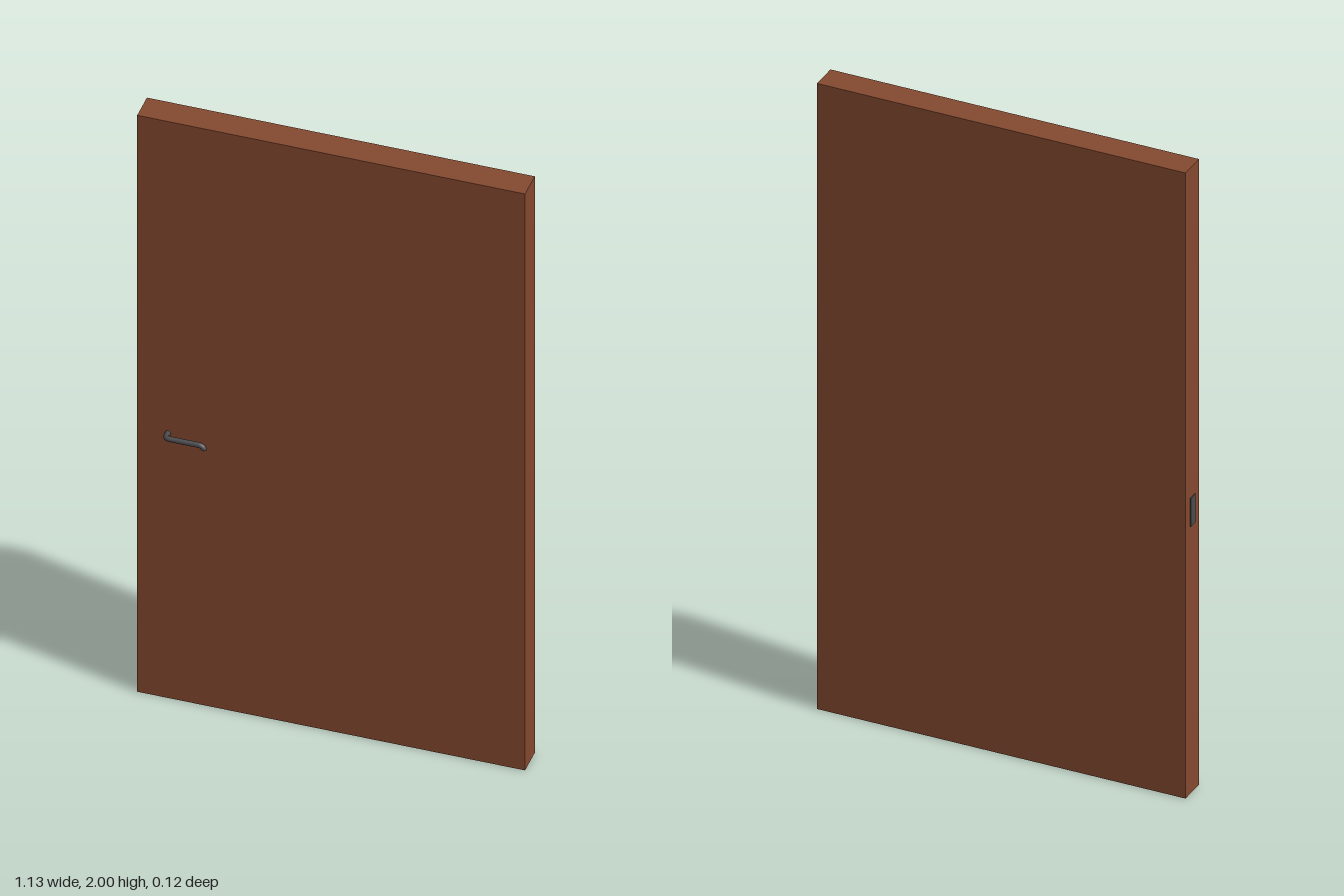
import * as THREE from 'three';

const WIDTH = 1.13, HEIGHT = 2, BACK = -0.06, FRONT = 0.025;

function box(name, material, size, position) {
  const mesh = new THREE.Mesh(new THREE.BoxGeometry(...size), material);
  mesh.name = name;
  mesh.position.set(...position);
  return mesh;
}

// Lever: a stem out of the door, a rounded corner, a straight grip and a drooped tip
function createHandle(material) {
  const handle = new THREE.Group();
  handle.name = 'handle';
  const v = (x, y, z) => new THREE.Vector3(x, y, z);
  const r = 0.008;
  const path = new THREE.CurvePath();
  path.add(new THREE.LineCurve3(v(-0.475, 0.92, FRONT - 0.005), v(-0.475, 0.92, 0.038)));
  path.add(new THREE.QuadraticBezierCurve3(v(-0.475, 0.92, 0.038), v(-0.475, 0.92, 0.051), v(-0.462, 0.92, 0.051)));
  path.add(new THREE.LineCurve3(v(-0.462, 0.92, 0.051), v(-0.38, 0.92, 0.051)));
  path.add(new THREE.QuadraticBezierCurve3(v(-0.38, 0.92, 0.051), v(-0.364, 0.92, 0.051), v(-0.362, 0.909, 0.051)));
  const lever = new THREE.Mesh(new THREE.TubeGeometry(path, 48, r, 12), material);
  lever.name = 'lever';
  const tip = new THREE.Mesh(new THREE.SphereGeometry(r, 12, 8), material);
  tip.name = 'leverTip';
  tip.scale.y = 0.5;
  tip.position.set(-0.362, 0.909, 0.051);
  handle.add(lever, tip);
  return handle;
}

export function createModel() {
  const wood = new THREE.MeshStandardMaterial({ color: 0x84492f });
  const metal = new THREE.MeshStandardMaterial({ color: 0x4a4a4d });
  const model = new THREE.Group();
  model.name = 'door';

  // Plain door leaf
  model.add(box('doorLeaf', wood, [WIDTH, HEIGHT, FRONT - BACK], [0, HEIGHT / 2, (FRONT + BACK) / 2]));

  // Latch plate on the handle-side edge
  model.add(box('latchPlate', metal, [0.006, 0.09, 0.03], [-WIDTH / 2, 0.9, (FRONT + BACK) / 2]));

  model.add(createHandle(metal));
  return model;
}
